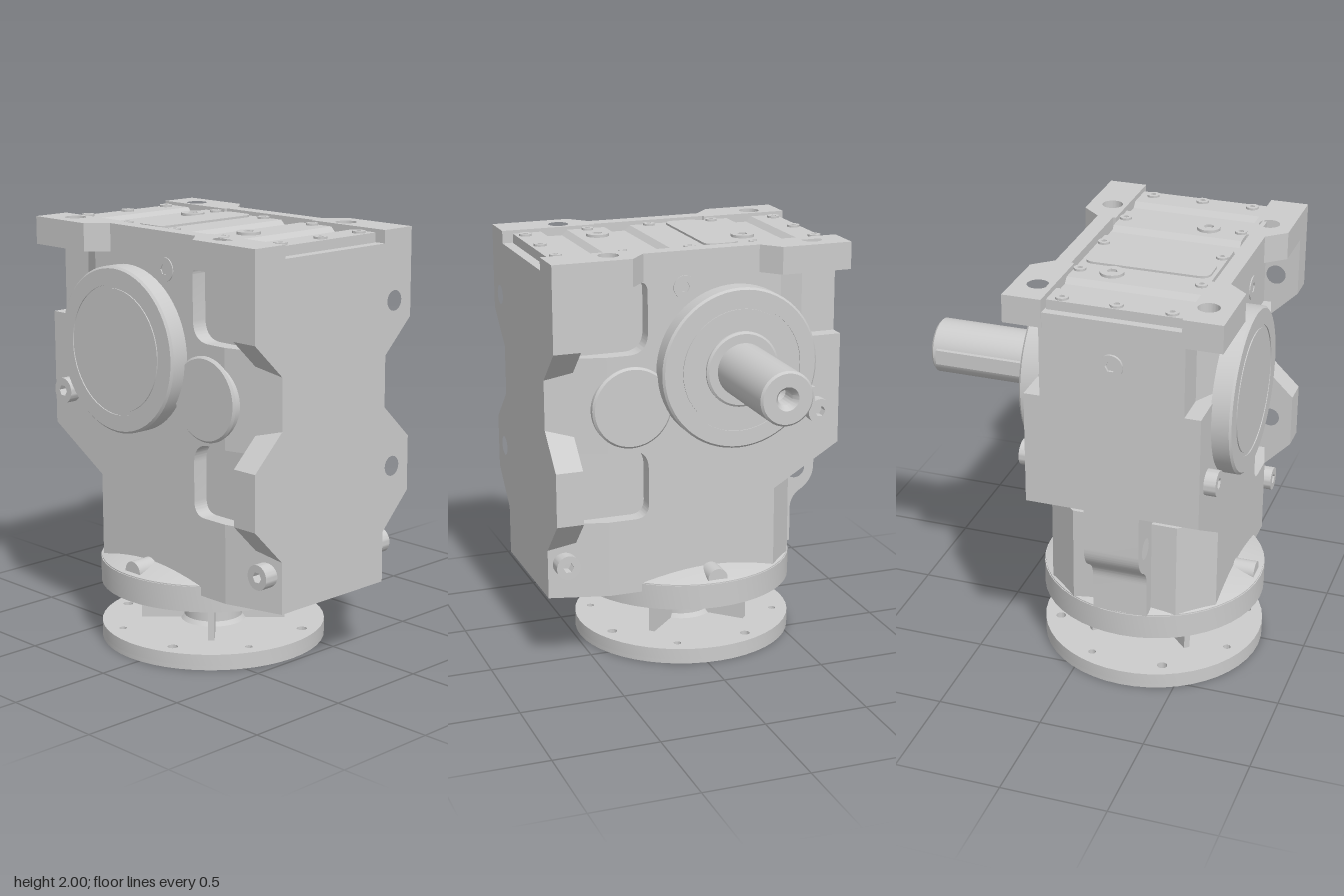
import * as THREE from 'three';
import { toCreasedNormals } from 'three/addons/utils/BufferGeometryUtils.js';

const material = new THREE.MeshStandardMaterial({ color: 0xcccccc });

// Closed outline; a third number on a point rounds that corner.
function outline(points, holes = []) {
  const shape = new THREE.Shape();
  const n = points.length;
  points.forEach((p, i) => {
    const toward = (q) => {
      const d = Math.hypot(q[0] - p[0], q[1] - p[1]);
      const t = (p[2] || 0) / d;
      return [p[0] + (q[0] - p[0]) * t, p[1] + (q[1] - p[1]) * t];
    };
    const a = toward(points[(i + n - 1) % n]);
    const b = toward(points[(i + 1) % n]);
    if (i === 0) shape.moveTo(...a); else shape.lineTo(...a);
    if (p[2]) shape.quadraticCurveTo(p[0], p[1], ...b);
  });
  shape.closePath();
  holes.forEach(([x, y, r]) => shape.holes.push(new THREE.Path().absarc(x, y, r, 0, Math.PI * 2, true)));
  return shape;
}

function circle(r, holes = []) {
  const shape = new THREE.Shape().absarc(0, 0, r, 0, Math.PI * 2, false);
  holes.forEach(([x, y, q]) => shape.holes.push(new THREE.Path().absarc(x, y, q, 0, Math.PI * 2, true)));
  return shape;
}

const crease = (g) => toCreasedNormals(g, 0.6);
const extrude = (shape, depth) =>
  crease(new THREE.ExtrudeGeometry(shape, { depth, bevelEnabled: false, curveSegments: 24 }));
// Points are [z, y], extruded from x0 to x1.
const alongX = (pts, x0, x1, holes = []) =>
  extrude(outline(pts.map(([z, y, r]) => [-z, y, r]), holes.map(([z, y, r]) => [-z, y, r])), x1 - x0)
    .rotateY(Math.PI / 2).translate(x0, 0, 0);
// Points are [x, z], extruded from y0 to y1.
const alongY = (pts, y0, y1, holes = []) =>
  extrude(outline(pts.map(([x, z, r]) => [x, -z, r]), holes.map(([x, z, r]) => [x, -z, r])), y1 - y0)
    .rotateX(-Math.PI / 2).translate(0, y0, 0);
const lathe = (pts) =>
  crease(new THREE.LatheGeometry(pts.map(([r, y]) => new THREE.Vector2(r, y)), 64));
const box = (x0, x1, y0, y1, z0, z1) => new THREE.BoxGeometry(x1 - x0, y1 - y0, z1 - z0)
  .translate((x0 + x1) / 2, (y0 + y1) / 2, (z0 + z1) / 2);

export function createModel() {
  const root = new THREE.Group();
  root.name = 'gearUnit';
  // The housing's middle plane is offset to make room for the shaft.
  const unit = new THREE.Group();
  unit.name = 'housing';
  unit.position.x = -0.25;
  root.add(unit);
  const add = (name, geometry) => {
    const mesh = new THREE.Mesh(geometry, material);
    mesh.name = name;
    unit.add(mesh);
    return mesh;
  };
  const AXES = {
    '+x': [0, Math.PI / 2, 0], '-x': [0, -Math.PI / 2, 0],
    '+y': [-Math.PI / 2, 0, 0], '-z': [0, Math.PI, 0],
  };
  // Screw head with hexagon socket; base at the given point, pointing along the axis.
  const screw = (name, axis, x, y, z, r, h) => {
    const group = new THREE.Group();
    group.name = name;
    const hex = [];
    for (let i = 0; i < 6; i++) {
      const a = -i * Math.PI / 3;
      hex.push(new THREE.Vector2(Math.cos(a) * r * 0.45, Math.sin(a) * r * 0.45));
    }
    const shape = circle(r);
    shape.holes.push(new THREE.Path(hex));
    group.add(new THREE.Mesh(extrude(shape, h), material));
    group.add(new THREE.Mesh(extrude(circle(r * 0.9), h * 0.3), material));
    group.position.set(x, y, z);
    group.rotation.set(...AXES[axis]);
    unit.add(group);
  };

  // Inner core of the housing
  add('housingCore', alongX([[0.6, 0.36], [0.6, 1.94], [-0.72, 1.94], [-0.72, 1], [-0.39, 0.8],
    [-0.39, 0.4], [0.28, 0.4], [0.28, 0.36]], -0.33, 0.33));
  // Chamfered lower back of the housing
  add('lowerBack', alongY([[-0.405, -0.38], [0.405, -0.38], [0.405, -0.39], [0.25, -0.53],
    [-0.25, -0.53], [-0.405, -0.39]], 0.4, 0.87));
  // Lifting eye block at the back
  add('liftingEye', alongX([[-0.5, 0.41], [-0.5, 1.0], [-0.72, 1.0], [-0.72, 0.72, 0.08],
    [-0.595, 0.64, 0.06], [-0.595, 0.41]], -0.13, 0.13, [[-0.62, 0.79, 0.05]]));

  // Front mounting plate with a slot for the top cover
  const half = [[0.315, 1.94], [0.315, 2], [0.495, 2], [0.495, 1.59], [0.33, 1.43], [0.33, 1.19],
    [0.495, 1.03], [0.495, 0.77], [0.33, 0.6], [0.33, 0.36]];
  const mirrored = half.map(([x, y]) => [-x, y]).reverse();
  const plateHoles = [];
  for (const x of [-0.385, 0.385]) for (const y of [0.905, 1.675]) plateHoles.push([x, y, 0.047]);
  add('frontPlate', extrude(outline([...half, ...mirrored], plateHoles), 0.13).translate(0, 0, 0.6));

  for (const s of [-1, 1]) {
    const side = s > 0 ? 'left' : 'right';
    const axis = s > 0 ? '+x' : '-x';
    const spanX = (a, b) => (s > 0 ? [a, b] : [-b, -a]);
    const flip = (pts) => pts.map(([x, z, r]) => [s * x, z, r]);

    // Side wall with rounded bolt pockets
    add(side + 'SideWall', alongX([[0.45, 0.36], [0.45, 0.73], [0.25, 0.73, 0.07], [0.25, 1.07, 0.1],
      [0.45, 1.07], [0.45, 1.53], [0.25, 1.53, 0.1], [0.25, 1.87, 0.05], [0.27, 1.87], [0.27, 2],
      [-0.3, 2], [-0.3, 1.87], [-0.41, 1.87], [-0.41, 1.54], [-0.72, 1.54], [-0.72, 1],
      [-0.39, 0.8], [-0.39, 0.4], [0.28, 0.4], [0.28, 0.36]], ...spanX(0.33, 0.405)));
    // Slanted front corners and the slope behind the rear foot
    for (const [y0, y1] of [[0.36, 0.73], [1.07, 1.53]])
      add(side + 'FrontCorner', alongY(flip([[0.3, 0.45], [0.405, 0.45], [0.33, 0.73], [0.3, 0.73]]), y0, y1));
    add(side + 'RearSlope', alongY(flip([[0.3, -0.41], [0.405, -0.41], [0.33, -0.55], [0.3, -0.55]]), 1.54, 1.87));
    // Top feet
    add(side + 'FrontTopFoot', alongY(flip([[0.315, 0.6], [0.495, 0.6], [0.495, 0.35], [0.405, 0.27],
      [0.315, 0.27]]), 1.87, 2, [[s * 0.385, 0.43, 0.049]]));
    add(side + 'RearTopFoot', alongY(flip([[0.315, -0.725], [0.495, -0.725], [0.495, -0.38], [0.405, -0.3],
      [0.315, -0.3]]), 1.87, 2, [[s * 0.385, -0.57, 0.049]]));

    // Bearing covers
    const cover = add(side + 'BearingCover', lathe([[0, 0], [0.385, 0], [0.385, 0.085], [0.375, 0.095],
      [0.3, 0.095], [0.3, 0.09], [0.285, 0.09], [0.285, 0.095], [0, 0.095]]).rotateZ(-s * Math.PI / 2));
    cover.position.set(s * 0.4, 1.44, -0.175);
    const cap = add(side + 'SmallCover', lathe([[0, 0], [0.195, 0], [0.195, 0.09], [0.185, 0.1], [0, 0.1]])
      .rotateZ(-s * Math.PI / 2));
    cap.position.set(s * 0.32, 1.28, 0.33);

    // Oil plugs on the sides
    screw(side + 'LowerPlug', axis, s * 0.32, 0.53, 0.65, 0.058, 0.085);
    screw(side + 'RearPlug', axis, s * 0.4, 1.18, -0.6, 0.06, 0.06);
    screw(side + 'UpperPlug', axis, s * 0.4, 1.83, 0.07, 0.055, 0.01);

    // Boss on the upper flange
    const boss = add(side + 'FlangeBoss', new THREE.CylinderGeometry(0.05, 0.05, 0.16, 32).rotateZ(Math.PI / 2));
    boss.position.set(s * 0.43, 0.415, -0.06);
  }
  screw('backPlug', '-z', 0, 1.735, -0.71, 0.055, 0.022);

  // Top cover with cross grooves
  const coverProfile = [[0.68, 1.93], [0.68, 1.985]];
  for (const z of [0.475, 0.155, -0.485])
    coverProfile.push([z + 0.065, 1.985], [z + 0.04, 1.96], [z - 0.04, 1.96], [z - 0.065, 1.985]);
  coverProfile.push([-0.68, 1.985], [-0.68, 1.93]);
  add('topCover', alongX(coverProfile, -0.308, 0.308));
  add('inspectionPad', alongY([[-0.29, -0.25, 0.05], [0.29, -0.25, 0.05], [0.29, -0.08, 0.05],
    [-0.29, -0.08, 0.05]], 1.98, 1.995));
  for (const z of [-0.645, 0.635]) for (const x of [-0.247, 0, 0.247])
    screw('coverScrew', '+y', x, 1.98, z, 0.03, 0.015);
  for (const z of [-0.325, 0, 0.315]) for (const x of [-0.28, 0.28])
    screw('coverScrew', '+y', x, 1.98, z, 0.028, 0.015);
  screw('ventPlug', '+y', 0.13, 1.98, -0.325, 0.055, 0.018);
  screw('fillerPlug', '+y', -0.125, 1.98, 0.315, 0.055, 0.018);

  // Output shaft with hub, centre hole and key
  const shaft = add('outputShaft', lathe([[0, 0.4], [0.18, 0.4], [0.18, 0.505], [0.17, 0.512], [0.127, 0.512],
    [0.127, 1.02], [0.117, 1.03], [0.055, 1.03], [0.035, 1.0], [0.035, 0.92], [0, 0.9]])
    .rotateZ(-Math.PI / 2));
  shaft.position.set(0, 1.44, -0.18);
  add('shaftKey', box(0.54, 1.0, 1.405, 1.475, -0.323, -0.22));

  // Input flanges with bolt holes, joined by a ribbed neck
  const flange = new THREE.Group();
  flange.name = 'inputFlange';
  flange.position.z = -0.06;
  unit.add(flange);
  const addFlange = (name, geometry) => {
    const mesh = new THREE.Mesh(geometry, material);
    mesh.name = name;
    flange.add(mesh);
    return mesh;
  };
  const ring = [];
  for (let i = 0; i < 8; i++) {
    const a = i * Math.PI / 4 + Math.PI / 8;
    ring.push([Math.cos(a) * 0.46, Math.sin(a) * 0.46, i % 2 ? 0.018 : 0.024]);
  }
  const slab = (name, r, y0, y1, holes) =>
    addFlange(name, extrude(circle(r, holes), y1 - y0).rotateX(-Math.PI / 2).translate(0, y0, 0));
  slab('lowerFlangeRim', 0.535, 0, 0.02, [...ring, [0, 0, 0.39]]);
  slab('lowerFlange', 0.535, 0.02, 0.075, [...ring, [0, 0, 0.05]]);
  slab('inputHub', 0.16, 0.012, 0.03, [[0, 0, 0.05]]);
  slab('upperFlange', 0.535, 0.28, 0.4, ring);
  addFlange('flangeShoulder', lathe([[0, 0.39], [0.53, 0.39], [0.53, 0.405], [0.38, 0.46], [0, 0.46]]));
  addFlange('neck', lathe([[0, 0.07], [0.16, 0.07], [0.14, 0.095], [0.14, 0.26], [0.16, 0.285], [0, 0.285]]));
  for (const a of [Math.PI / 4, -Math.PI / 4])
    addFlange('neckRib', new THREE.BoxGeometry(0.69, 0.215, 0.03).rotateY(a).translate(0, 0.178, 0));

  return root;
}
